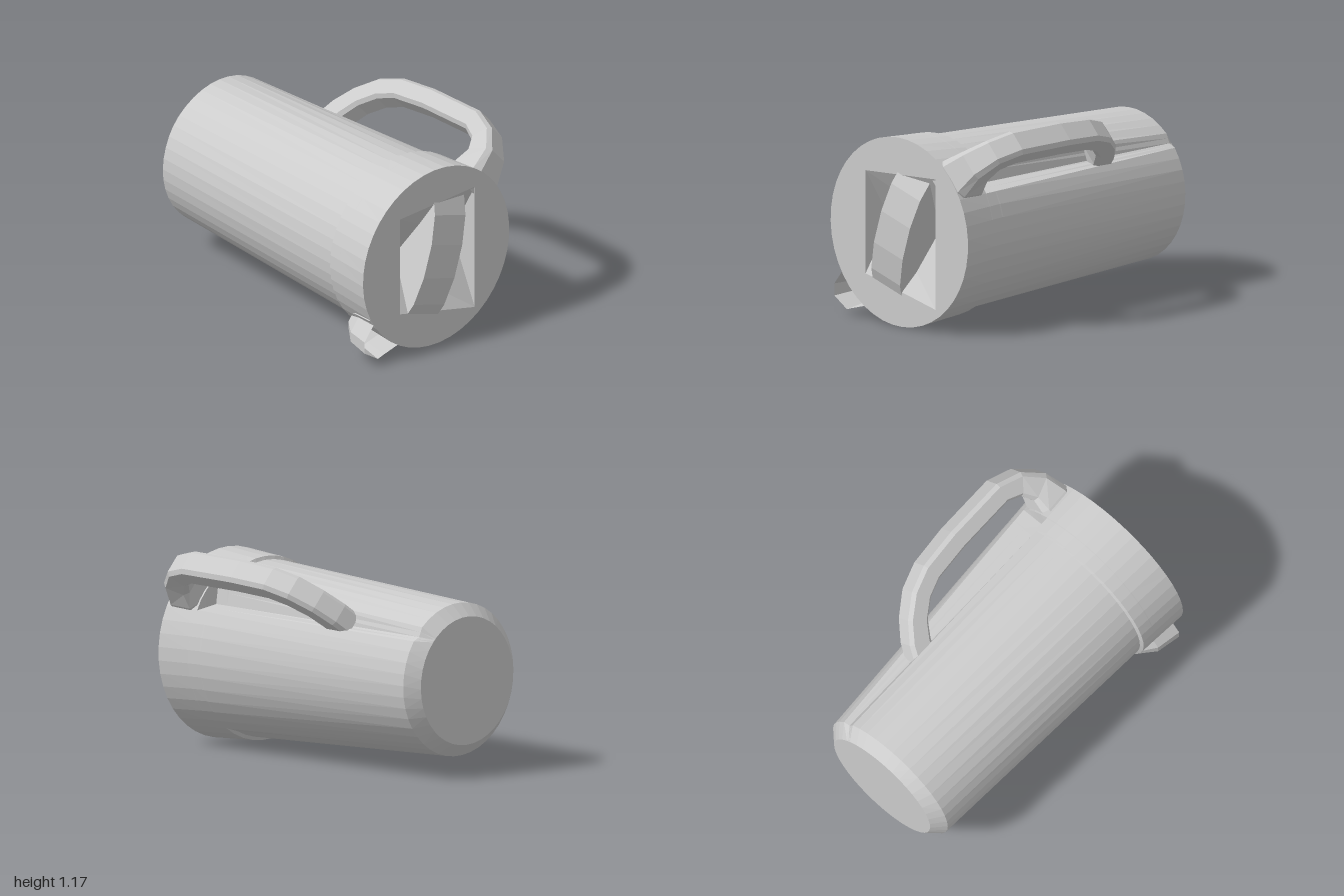
import * as THREE from 'three';

const CX = -0.07, CY = 0.55;
const mat = new THREE.MeshStandardMaterial({ color: 0xcccccc, flatShading: true });
const thin = new THREE.MeshStandardMaterial({ color: 0xcccccc, flatShading: true, side: THREE.DoubleSide });

// Skin a list of closed rings; rings run counter-clockwise around the direction of travel.
function loft(rings, capStart, capEnd) {
  const n = rings[0].length, pos = [], idx = [];
  rings.forEach(r => r.forEach(p => pos.push(p.x, p.y, p.z)));
  for (let i = 0; i < rings.length - 1; i++) {
    for (let j = 0; j < n; j++) {
      const a = i * n + j, b = i * n + (j + 1) % n;
      idx.push(a, b, b + n, a, b + n, a + n);
    }
  }
  const last = (rings.length - 1) * n;
  for (let j = 1; j < n - 1; j++) {
    if (capStart) idx.push(0, j + 1, j);
    if (capEnd) idx.push(last, last + j, last + j + 1);
  }
  const g = new THREE.BufferGeometry();
  g.setAttribute('position', new THREE.Float32BufferAttribute(pos, 3));
  g.setIndex(idx);
  const flat = g.toNonIndexed();
  flat.computeVertexNormals();
  return flat;
}

// Round jug section, optionally with the corner under the handle cut away.
function jugRing(z, rLeft, rRight, notch) {
  const r = rLeft;
  let a0 = Math.asin(0.26 / rRight), a1 = Math.acos(Math.min(1, 0.29 / r));
  if (a1 <= a0) { a0 = 0.75; a1 = 0.85; notch = false; }
  const at = (a) => {
    const rad = a > a1 - 0.001 && Math.cos(a) * r < 0.291 ? rLeft : rRight;
    return new THREE.Vector3(CX + rad * Math.cos(a), CY + rad * Math.sin(a), z);
  };
  const ring = [], steps = 40;
  for (let i = 0; i <= steps; i++) ring.push(at(a1 + (a0 + Math.PI * 2 - a1) * i / steps));
  const first = ring[0], end = ring[steps];
  const corner = new THREE.Vector3(0.245, 0.83, z);
  for (let k = 1; k <= 3; k++) {
    if (!notch) ring.push(at(a0 + (a1 - a0) * k / 4));
    else if (k === 1) ring.push(end.clone().lerp(corner, 0.5));
    else if (k === 2) ring.push(corner.clone());
    else ring.push(corner.clone().lerp(first, 0.5));
  }
  return ring;
}

export function createModel() {
  const model = new THREE.Group();
  const add = (name, geo, m = mat) => {
    const mesh = new THREE.Mesh(geo, m);
    mesh.name = name;
    model.add(mesh);
    return mesh;
  };

  // Tapered jug lying on its side, with the rim band at the front
  const rings = [
    [-1, 0.37, 0.37, false],
    [-0.93, 0.442, 0.442, true],
    [0.62, 0.51, 0.53, true],
    [0.63, 0.53, 0.53, true],
    [0.71, 0.535, 0.535, true],
    [0.715, 0.535, 0.535, false],
    [0.94, 0.55, 0.55, false],
  ].map(a => jugRing(...a));
  add('jugBody', loft(rings, true, false));

  // Lid face with an opening for the recess
  const hole = [[-0.34, 0.87], [0.22, 0.9], [0.22, 0.14], [-0.34, 0.27]];
  const face = new THREE.Shape(rings[rings.length - 1].map(p => new THREE.Vector2(p.x, p.y)));
  face.holes.push(new THREE.Path(hole.map(p => new THREE.Vector2(...p))));
  add('lidFace', new THREE.ShapeGeometry(face).translate(0, 0, 0.94));

  // V-shaped recess behind the lid face
  const v = (x, y, z) => [x, y, z];
  const [tl, tr, br, bl] = hole.map(([x, y]) => v(x, y, 0.94));
  const ml = v(-0.34, 0.55, 0.74), mr = v(0.22, 0.55, 0.74);
  const recess = new THREE.BufferGeometry();
  recess.setAttribute('position', new THREE.Float32BufferAttribute([
    tl, ml, mr, tl, mr, tr,
    ml, bl, br, ml, br, mr,
    tl, bl, ml, tr, mr, br,
  ].flat(), 3));
  recess.computeVertexNormals();
  add('lidRecess', recess, thin);

  // Arched grip bar crossing the recess at a slant
  const arch = new THREE.Shape([
    [-0.2, 0.75], [0.2, 0.75], [0.38, 0.92], [0.27, 0.97], [0.1, 1],
    [-0.1, 1], [-0.27, 0.97], [-0.38, 0.92],
  ].map(p => new THREE.Vector2(...p)));
  const bar = new THREE.ExtrudeGeometry(arch, { depth: 0.24, bevelEnabled: false });
  bar.translate(0, 0, -0.12);
  bar.applyMatrix4(new THREE.Matrix4().makeBasis(
    new THREE.Vector3(0, 1, 0), new THREE.Vector3(0, 0, 1), new THREE.Vector3(1, 0, 0)));
  bar.rotateZ(-0.3).translate(-0.07, 0.54, 0);
  add('lidGripBar', bar);

  // Handle: path rows are z, distance from jug axis, width, thickness
  const out = new THREE.Vector3(Math.cos(0.735), Math.sin(0.735), 0);
  const path = [
    [-0.34, 0.41, 0.15, 0.15], [-0.31, 0.5, 0.15, 0.14], [-0.24, 0.61, 0.15, 0.13],
    [-0.13, 0.71, 0.155, 0.13], [0, 0.765, 0.155, 0.13], [0.24, 0.79, 0.16, 0.13],
    [0.62, 0.795, 0.16, 0.13], [0.74, 0.745, 0.16, 0.14], [0.815, 0.65, 0.19, 0.17],
    [0.83, 0.54, 0.25, 0.21], [0.83, 0.42, 0.28, 0.21],
  ];
  const centre = path.map(([z, r]) => new THREE.Vector3(CX, CY, z).addScaledVector(out, r));
  const handleRings = path.map(([, , w, t], i) => {
    const T = centre[Math.min(i + 1, path.length - 1)].clone()
      .sub(centre[Math.max(i - 1, 0)]).normalize();
    const side = new THREE.Vector3(0, 0, 1).cross(out);
    const N = side.clone().cross(T);
    const B = T.clone().cross(N);
    const c = 0.7;
    return [[1, -c], [1, c], [c, 1], [-c, 1], [-1, c], [-1, -c], [-c, -1], [c, -1]].map(([a, b]) =>
      centre[i].clone().addScaledVector(N, a * t / 2).addScaledVector(B, b * w / 2));
  });
  add('handle', loft(handleRings, true, true));

  // Pouring spout opposite the handle: a pointed trough narrowing into the band
  const lip = [[-0.5, 0.31], [-0.565, 0.295], [-0.53, 0.26], [-0.6, 0.17], [-0.6, 0.1],
    [-0.5, 0.035], [-0.45, 0.05], [-0.34, 0.08], [-0.34, 0.13]];
  const spoutRing = (z, k) => lip.map(([x, y]) =>
    new THREE.Vector3(-0.43 + (x + 0.43) * k, 0.19 + (y - 0.19) * k, z));
  add('spout', loft([spoutRing(0.68, 0.45), spoutRing(0.78, 0.85), spoutRing(0.93, 1)], true, false), thin);

  return model;
}
